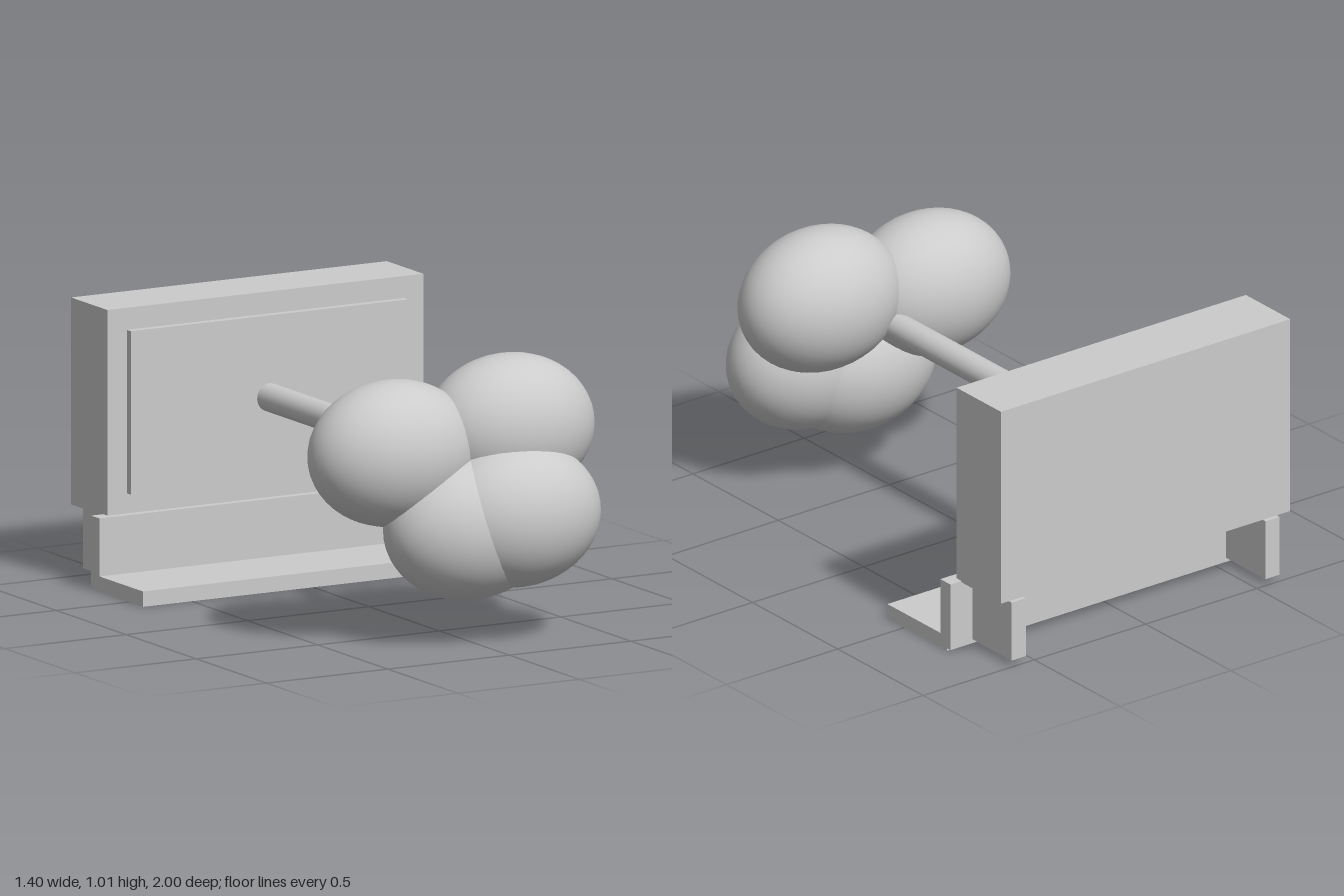
import * as THREE from 'three';

const material = new THREE.MeshStandardMaterial({ color: 0xcccccc });

export function createModel() {
  const model = new THREE.Group();
  const add = (name, geometry, x = 0, y = 0, z = 0) => {
    const mesh = new THREE.Mesh(geometry, material);
    mesh.name = name;
    mesh.position.set(x, y, z);
    model.add(mesh);
    return mesh;
  };
  // Box given by its minimum and maximum corners
  const box = (name, [x0, y0, z0], [x1, y1, z1]) =>
    add(name, new THREE.BoxGeometry(x1 - x0, y1 - y0, z1 - z0),
      (x0 + x1) / 2, (y0 + y1) / 2, (z0 + z1) / 2);

  // Upright housing with a raised front panel
  box('housing', [-0.65, 0.262, -1], [0.65, 1.015, -0.74]);
  box('frontPanel', [-0.57, 0.34, -0.74], [0.57, 0.935, -0.71]);

  // L-shaped foot bracket, swept across the width
  const profile = new THREE.Shape([
    [0.4, 0], [0.75, 0], [0.75, 0.01], [0.77, 0.01],
    [0.77, 0.267], [0.71, 0.267], [0.71, 0.056], [0.4, 0.056],
  ].map(([x, y]) => new THREE.Vector2(x, y)));
  const bracket = new THREE.ExtrudeGeometry(profile, { depth: 1.4, bevelEnabled: false });
  bracket.translate(0, 0, -0.7).rotateY(Math.PI / 2);
  add('footBracket', bracket);

  // Rear legs behind the bracket
  for (const side of [-1, 1]) {
    add(side > 0 ? 'leftLeg' : 'rightLeg',
      new THREE.BoxGeometry(0.063, 0.227, 0.23), side * 0.57, 0.139, -0.885);
  }

  // Rod from the panel into the cluster
  const rod = new THREE.CylinderGeometry(0.051, 0.051, 1.31, 32).rotateX(Math.PI / 2);
  add('rod', rod, 0, 0.637, -0.055);

  // Cluster of four equal ellipsoids
  const lobe = new THREE.IcosahedronGeometry(1, 7).scale(0.325, 0.265, 0.237);
  const lobes = {
    upperRightLobe: [-0.247, 0.69, 0.598],
    upperLeftLobe: [0.215, 0.746, 0.626],
    lowerFrontLobe: [0.162, 0.457, 0.763],
    lowerLobe: [0, 0.418, 0.71],
  };
  for (const [name, position] of Object.entries(lobes)) add(name, lobe, ...position);

  return model;
}
